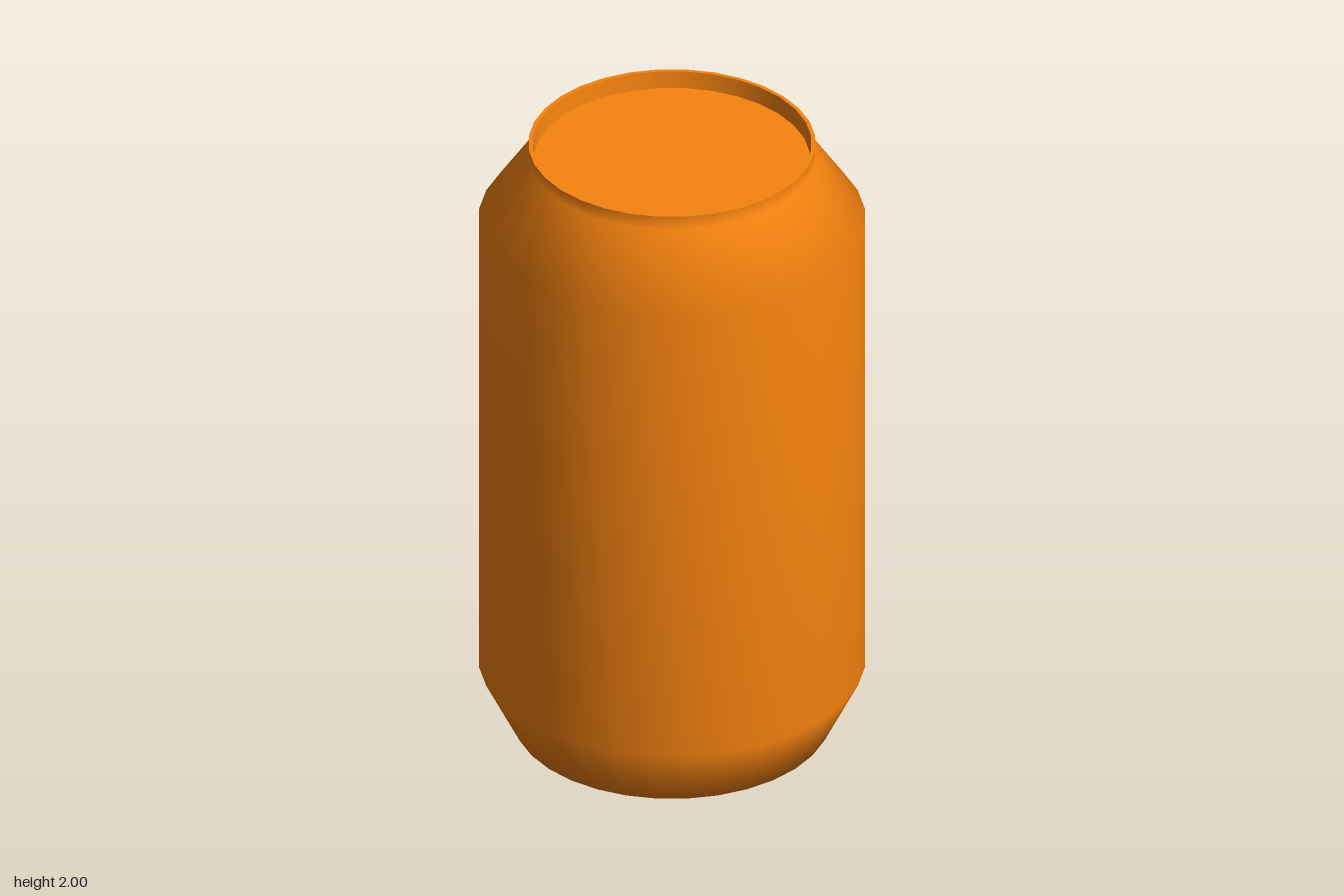
import * as THREE from 'three';

const SIDES = 32;

export function createModel() {
  const group = new THREE.Group();
  group.name = 'drinkCan';
  const material = new THREE.MeshStandardMaterial({ color: 0xf5820f });

  // Revolve a profile of [radius, height] pairs around the y axis
  const addTurned = (name, profile) => {
    const points = profile.map(([r, y]) => new THREE.Vector2(r, y));
    const mesh = new THREE.Mesh(new THREE.LatheGeometry(points, SIDES), material);
    mesh.name = name;
    group.add(mesh);
  };

  // Flat base, tapered foot, straight wall, sloping shoulder and short neck
  addTurned('body', [[0, 0], [0.475, 0], [0.58, 0.21], [0.58, 1.735], [0.43, 1.955], [0.43, 2]]);

  // Thin rim on top and the wall that drops to the lid
  addTurned('rim', [[0.43, 2], [0.418, 2]]);
  addTurned('rimInnerWall', [[0.418, 2], [0.413, 1.945]]);

  // Recessed flat lid
  addTurned('lid', [[0.413, 1.945], [0, 1.945]]);

  return group;
}
